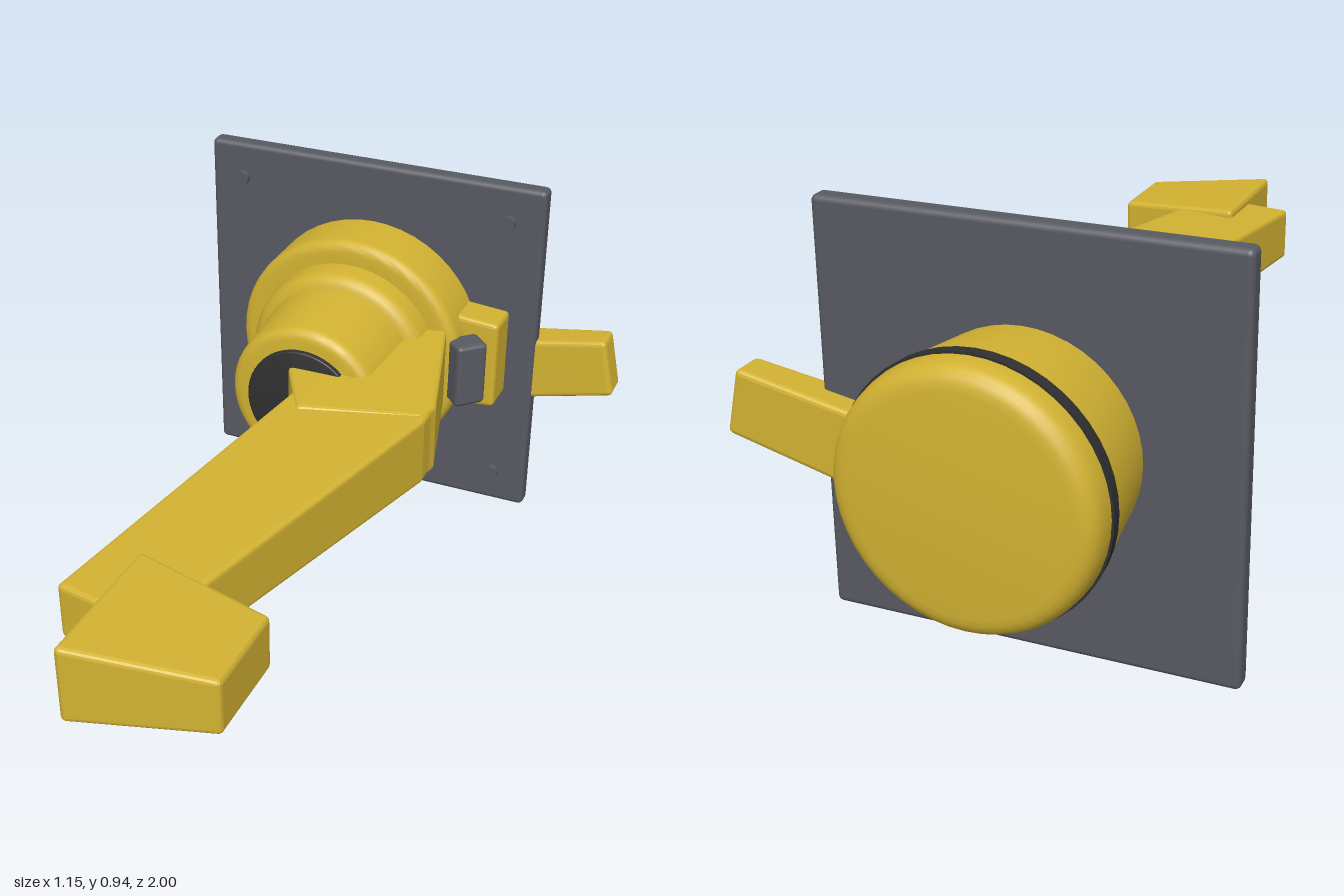
import * as THREE from 'three';
import { toCreasedNormals } from 'three/addons/utils/BufferGeometryUtils.js';
import { RoundedBoxGeometry } from 'three/addons/geometries/RoundedBoxGeometry.js';
import { ConvexGeometry } from 'three/addons/geometries/ConvexGeometry.js';

const CX = -0.108, CY = 0.47; // axis of the drum

export function createModel() {
  const group = new THREE.Group();
  const material = (name, color) => {
    const m = new THREE.MeshStandardMaterial({ color });
    m.name = name;
    return m;
  };
  const yellow = material('yellow', 0xd2b232);
  const grey = material('slateGrey', 0x585a62);
  const black = material('black', 0x303030);

  const add = (name, geometry, mat) => {
    const mesh = new THREE.Mesh(geometry, mat);
    mesh.name = name;
    group.add(mesh);
    return mesh;
  };

  // Turned part along z: corners are [radius, z, rounding]
  const turned = (name, corners, mat) => {
    const pts = corners.map(([r, z]) => new THREE.Vector2(r, z));
    const profile = [];
    pts.forEach((p, i) => {
      const round = corners[i][2];
      if (!round) { profile.push(p); return; }
      const a = p.clone().add(pts[i - 1].clone().sub(p).setLength(round));
      const b = p.clone().add(pts[i + 1].clone().sub(p).setLength(round));
      profile.push(...new THREE.QuadraticBezierCurve(a, p, b).getPoints(5));
    });
    const geo = new THREE.LatheGeometry(profile, 48);
    geo.rotateX(Math.PI / 2);
    geo.translate(CX, CY, 0);
    return add(name, toCreasedNormals(geo, 0.5), mat);
  };

  // Softened convex block: outline corners are [u, v, half thickness]
  const ball = new THREE.IcosahedronGeometry(1, 1).attributes.position;
  const block = (name, outline, toPoint, mat, r = 0.012) => {
    const points = [];
    const n = outline.length;
    const flat = outline.map(([u, v]) => new THREE.Vector2(u, v));
    outline.forEach(([, , h], i) => {
      const p = flat[i].clone();
      for (const q of [flat[(i + 1) % n], flat[(i + n - 1) % n]]) {
        p.add(q.clone().sub(flat[i]).setLength(r));
      }
      for (const s of [-1, 1]) {
        const centre = toPoint(p.x, p.y, s * (h - r));
        for (let k = 0; k < ball.count; k++) {
          points.push(new THREE.Vector3().fromBufferAttribute(ball, k).multiplyScalar(r).add(centre));
        }
      }
    });
    return add(name, new ConvexGeometry(points), mat);
  };
  const plan = (y) => (x, z, t) => new THREE.Vector3(x, y + t, z);
  const upright = (z) => (x, y, t) => new THREE.Vector3(x, y, z + t);

  // Mounting plate and its four bolts
  add('mountingPlate', new RoundedBoxGeometry(0.935, 0.94, 0.05, 3, 0.014), grey)
    .position.set(CX, CY, -0.677);
  for (const sx of [-1, 1]) {
    for (const sy of [-1, 1]) {
      const bolt = add('bolt', new THREE.CylinderGeometry(0.019, 0.019, 0.03, 10), grey);
      bolt.rotation.x = Math.PI / 2;
      bolt.position.set(CX + sx * 0.375, CY + sy * 0.375, -0.65);
    }
  }

  // Rear drum with a dark band
  turned('rearDrum', [[0, -1], [0.278, -1, 0.045], [0.284, -0.92], [0.25, -0.66]], yellow);
  turned('rearBand', [[0.27, -0.934], [0.288, -0.934], [0.286, -0.904], [0.27, -0.904]], black);

  // Stepped front housing and end cap
  turned('frontHousing', [
    [0.312, -0.66], [0.312, -0.495, 0.03], [0.252, -0.495],
    [0.247, -0.42, 0.035], [0.216, -0.415],
    [0.2, -0.197, 0.03], [0, -0.197],
  ], yellow);
  turned('endCap', [[0.148, -0.22], [0.148, -0.183, 0.006], [0, -0.183]], black);

  // Side bracket and the tilted pin beside the arm
  block('sideBracket', [
    [0.1, -0.66, 0.135], [0.284, -0.66, 0.122],
    [0.284, -0.557, 0.122], [0.1, -0.557, 0.135],
  ], plan(0.473), yellow);
  block('pivotPin', [
    [0.273, -0.52, 0.088], [0.213, -0.46, 0.088],
    [0.16, -0.51, 0.088], [0.222, -0.57, 0.088],
  ], plan(0.473), grey);

  // Two-part arm
  block('upperArm', [
    [-0.048, -0.018, 0.092], [0.246, -0.1, 0.092], [0.252, -0.16, 0.093],
    [0.162, -0.51, 0.108], [-0.08, -0.45, 0.108], [-0.137, -0.185, 0.097],
  ], plan(0.476), yellow);
  block('lowerArm', [
    [-0.077, -0.18, 0.09], [0.256, -0.17, 0.09], [0.245, -0.09, 0.09],
    [0.02, 0.838, 0.069], [-0.222, 0.793, 0.069],
  ], plan(0.475), yellow);

  // Tapered grip at the end of the arm
  block('grip', [
    [-0.105, 0.645, 0.093], [0.223, 0.705, 0.068],
    [0.223, 0.932, 0.068], [-0.105, 1, 0.093],
  ], plan(0.473), yellow);

  // Lever behind the plate
  block('rearLever', [
    [0.08, 0.28, 0.056], [0.575, 0.395, 0.042],
    [0.542, 0.548, 0.042], [0.08, 0.465, 0.056],
  ], upright(-0.709), yellow);

  return group;
}
